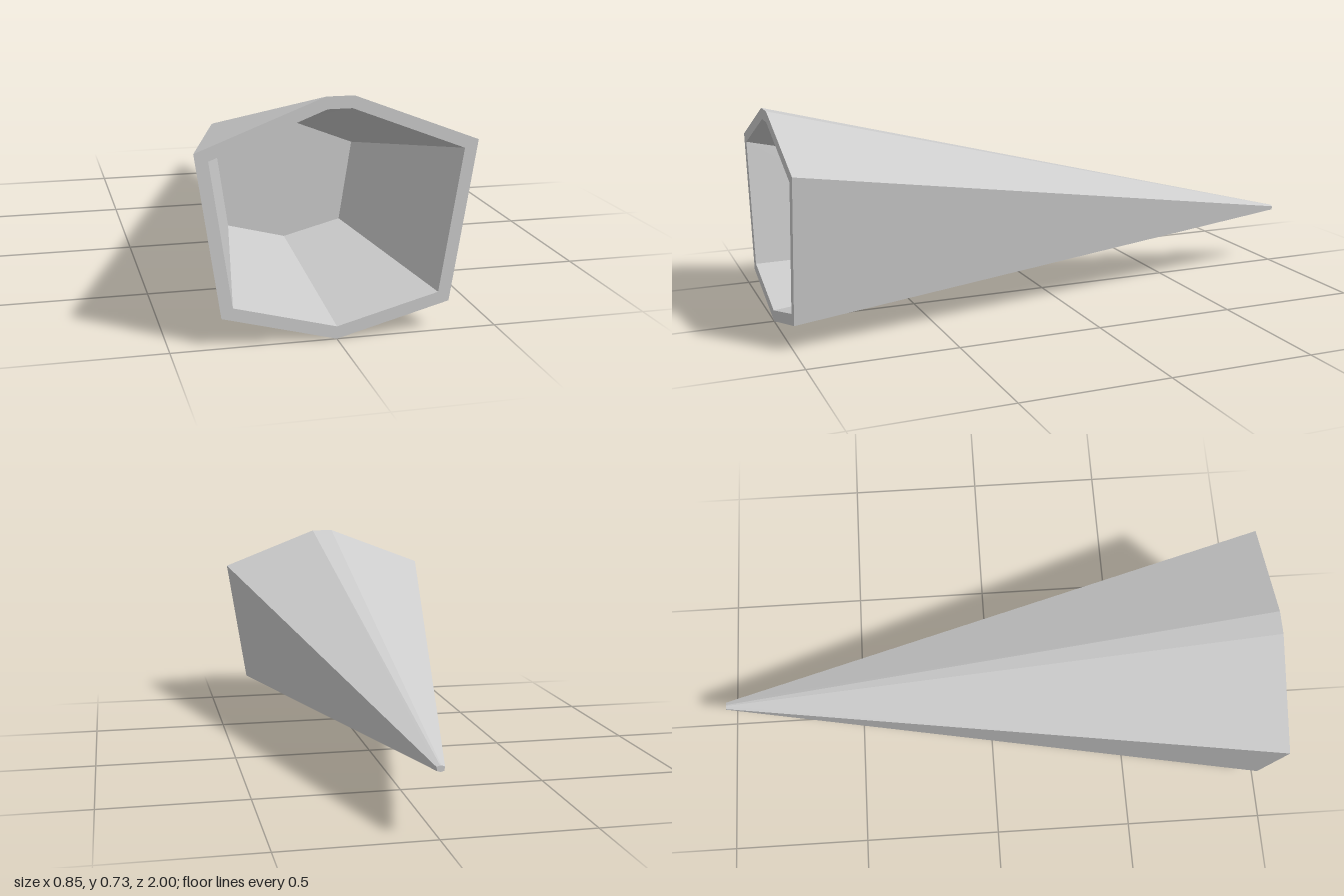
import * as THREE from 'three';

// Mirrored seven-sided section, counter-clockwise seen from the front.
// half = [bottom, lower corner, upper corner, top ridge] as [x, y]
function section(half, z) {
  const right = half.map(([x, y]) => new THREE.Vector3(x, y, z));
  const left = half.slice(1).reverse().map(([x, y]) => new THREE.Vector3(-x, y, z));
  return [...right, ...left];
}

function toMesh(name, points, material) {
  const geometry = new THREE.BufferGeometry().setFromPoints(points);
  geometry.computeVertexNormals(); // unshared corners keep the facets flat
  const mesh = new THREE.Mesh(geometry, material);
  mesh.name = name;
  return mesh;
}

// Band of faces joining two sections
function band(a, b) {
  return a.flatMap((p, i) => {
    const j = (i + 1) % a.length;
    return [p, b[i], a[j], b[i], b[j], a[j]];
  });
}

// Flat cap over one section
function cap(s, facesBack) {
  const points = [];
  for (let i = 1; i < s.length - 1; i++) {
    points.push(s[0], ...(facesBack ? [s[i + 1], s[i]] : [s[i], s[i + 1]]));
  }
  return points;
}

export function createModel() {
  const grey = new THREE.MeshStandardMaterial({ color: 0xcccccc });
  grey.name = 'light grey';

  const mouth = section([[0, 0.003], [0.348, 0.095], [0.424, 0.59], [0.042, 0.737]], 1);
  const tip = section([[0, 0.211], [0.011, 0.214], [0.013, 0.227], [0.002, 0.231]], -1);
  const lip = section([[0, 0.042], [0.314, 0.125], [0.382, 0.566], [0.037, 0.7]], 1);
  const recess = section([[0, 0.114], [0.197, 0.165], [0.238, 0.438], [0.021, 0.523]], 0.33);

  const group = new THREE.Group();
  group.name = 'hollowSpike';
  group.add(
    toMesh('outerShell', band(mouth, tip), grey),
    toMesh('tipCap', cap(tip, true), grey),
    toMesh('rim', band(lip, mouth), grey),
    toMesh('innerWalls', band(recess, lip), grey),
    toMesh('recessFloor', cap(recess, false), grey),
  );
  return group;
}
